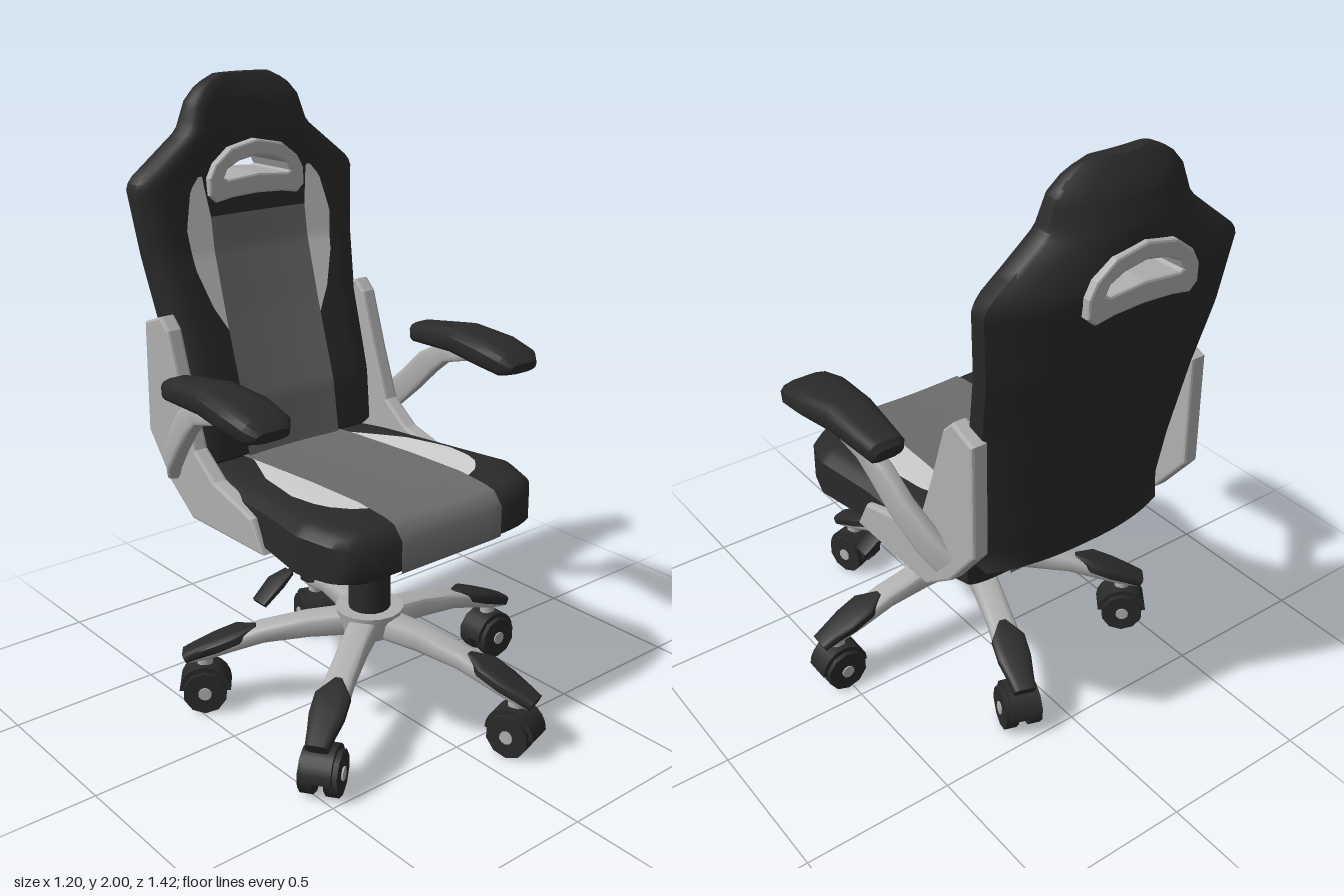
import * as THREE from 'three';
import { toCreasedNormals } from 'three/addons/utils/BufferGeometryUtils.js';

const mat = (name, color) => { const m = new THREE.MeshStandardMaterial({ color }); m.name = name; return m; };

// Linear lookup in rows of [key, a, b, ...] with rising keys
function at(table, k) {
  let i = 0;
  while (i < table.length - 2 && k > table[i + 1][0]) i++;
  const [p, q] = [table[i], table[i + 1]];
  const f = THREE.MathUtils.clamp((k - p[0]) / (q[0] - p[0]), 0, 1);
  return p.slice(1).map((v, j) => v + (q[j + 1] - v) * f);
}

function build(pos, idx) {
  const g = new THREE.BufferGeometry();
  g.setAttribute('position', new THREE.Float32BufferAttribute(pos, 3));
  g.setIndex(idx);
  return toCreasedNormals(g, 0.75);
}

// Cushion: two facing surfaces F and B over (u, t), joined by walls; cells may be skipped to leave a hole
function slab(F, B, nu, nt, skip = () => false) {
  const pos = [], idx = [], half = (nu + 1) * (nt + 1);
  for (const S of [F, B])
    for (let i = 0; i <= nt; i++)
      for (let j = 0; j <= nu; j++) pos.push(...S(j / nu * 2 - 1, i / nt));
  const f = (i, j) => i * (nu + 1) + j, b = (i, j) => f(i, j) + half;
  const quad = (p, q, r, s) => idx.push(p, q, r, p, r, s);
  for (let i = 0; i < nt; i++) {
    for (let j = 0; j < nu; j++) {
      if (skip(...F((j + 0.5) / nu * 2 - 1, (i + 0.5) / nt))) continue;
      quad(f(i, j), f(i, j + 1), f(i + 1, j + 1), f(i + 1, j));
      quad(b(i, j), b(i + 1, j), b(i + 1, j + 1), b(i, j + 1));
    }
    quad(f(i, nu), b(i, nu), b(i + 1, nu), f(i + 1, nu));
    quad(f(i, 0), f(i + 1, 0), b(i + 1, 0), b(i, 0));
  }
  for (let j = 0; j < nu; j++) {
    quad(f(0, j), b(0, j), b(0, j + 1), f(0, j + 1));
    quad(f(nt, j), f(nt, j + 1), b(nt, j + 1), b(nt, j));
  }
  return build(pos, idx);
}

// Thin panel lying on a surface: x runs lo(s)..hi(s) for each s in the list
function patch(list, lo, hi, fn, n = 10) {
  const pos = [], idx = [];
  list.forEach((s, i) => {
    for (let j = 0; j <= n; j++) pos.push(...fn(THREE.MathUtils.lerp(lo(s), hi(s), j / n), s));
    if (i) for (let j = 0; j < n; j++) {
      const a = (i - 1) * (n + 1) + j, c = a + n + 1;
      idx.push(a, a + 1, c + 1, a, c + 1, c);
    }
  });
  return build(pos, idx);
}
const range = (a, b, n) => Array.from({ length: n + 1 }, (_, i) => a + (b - a) * i / n);

// Rounded-box section swept along points [x, y, z, halfWidth, halfHeight]
function sweep(pts, power = 0.5, n = 12) {
  const P = pts.map(p => new THREE.Vector3(p[0], p[1], p[2])), pos = [], idx = [];
  const pw = v => Math.sign(v) * Math.abs(v) ** power;
  P.forEach((p, i) => {
    const T = P[Math.min(i + 1, P.length - 1)].clone().sub(P[Math.max(i - 1, 0)]).normalize();
    const S = T.clone().cross(new THREE.Vector3(0, 1, 0)).normalize(), U = S.clone().cross(T);
    for (let j = 0; j < n; j++) {
      const a = (j + 0.5) / n * Math.PI * 2;
      const v = p.clone().addScaledVector(S, pw(Math.cos(a)) * pts[i][3]).addScaledVector(U, pw(Math.sin(a)) * pts[i][4]);
      pos.push(v.x, v.y, v.z);
      const k = (j + 1) % n, o = i * n;
      if (i) idx.push(o - n + j, o + j, o + k, o - n + j, o + k, o - n + k);
    }
  });
  const c = P.length * n, last = c - n;
  pos.push(...P[0].toArray(), ...P[P.length - 1].toArray());
  for (let j = 0; j < n; j++) {
    const k = (j + 1) % n;
    idx.push(c, j, k, c + 1, last + k, last + j);
  }
  return build(pos, idx);
}

export function createModel() {
  const root = new THREE.Group();
  const black = mat('black', 0x2a2a2a), grey = mat('grey fabric', 0x6c6c6c);
  const pale = mat('pale panel', 0xd0d0d0), silver = mat('silver', 0xb0b0b0);
  const add = (name, geo, m, parent = root) => {
    const mesh = new THREE.Mesh(geo, m);
    mesh.name = name;
    parent.add(mesh);
    return mesh;
  };

  // Backrest: height, half width, front z, back z
  const back = [[0.74, 0.33, -0.43, -0.53], [0.79, 0.37, -0.33, -0.545], [0.97, 0.38, -0.355, -0.58], [1.24, 0.385, -0.435, -0.635],
    [1.45, 0.41, -0.49, -0.675], [1.66, 0.435, -0.518, -0.697], [1.69, 0.425, -0.52, -0.698], [1.83, 0.245, -0.525, -0.69],
    [1.92, 0.213, -0.535, -0.665], [1.97, 0.17, -0.55, -0.635], [2, 0.105, -0.565, -0.61]];
  const backFront = (x, y) => {
    const [w, f, b] = at(back, y), u = Math.abs(x / w);
    return f + (f - b) * (0.15 * u ** 2 - 0.3 * u ** 10);
  };
  const backRear = (x, y) => {
    const [w, f, b] = at(back, y);
    return b + (f - b) * 0.55 * Math.abs(x / w) ** 2.5;
  };
  const onBack = S => (u, t) => {
    const y = 0.74 + 1.26 * t, x = u * at(back, y)[0];
    return [x, y, S(x, y)];
  };
  add('backrest', slab(onBack(backFront), onBack(backRear), 44, 63,
    (x, y) => Math.abs(x) < 0.165 && y > 1.645 && y < 1.77 - 0.1 * (x / 0.165) ** 2), black);
  const backPanel = (x, y) => [x, y, backFront(x, y) + 0.006];
  add('backrestStripe', patch(range(0.79, 1.56, 40), () => -0.19, () => 0.19, backPanel), grey);
  const backSide = [[1.2, 0.19], [1.28, 0.235], [1.4, 0.275], [1.53, 0.29], [1.65, 0.26], [1.69, 0.225]];
  const inner = y => 0.19 + Math.max(0, y - 1.56) * 0.15;

  // Handle opening: bevelled ring through the backrest
  const arch = half => half.concat(half.slice(1, -1).reverse().map(([x, y]) => [-x, y])).map(p => new THREE.Vector2(...p));
  const ring = new THREE.Shape(arch([[0, 1.625], [0.1, 1.62], [0.16, 1.61], [0.182, 1.63], [0.182, 1.68], [0.16, 1.72], [0.1, 1.765], [0, 1.785]]));
  ring.holes.push(new THREE.Path(arch([[0, 1.675], [0.12, 1.665], [0.142, 1.675], [0.125, 1.71], [0.075, 1.735], [0, 1.748]])));
  const ringGeo = new THREE.ExtrudeGeometry(ring, { depth: 0.2, bevelSize: 0.008, bevelThickness: 0.008, bevelSegments: 2 });
  add('handleRing', ringGeo, silver).position.z = -0.7;

  // Seat: z, half width, top, bottom
  const seat = [[-0.42, 0.36, 0.77, 0.66], [-0.25, 0.385, 0.785, 0.64], [0.05, 0.41, 0.8, 0.64], [0.27, 0.445, 0.805, 0.635],
    [0.38, 0.41, 0.795, 0.633], [0.42, 0.37, 0.785, 0.635], [0.455, 0.3, 0.74, 0.66]];
  const seatTop = (x, z) => {
    const [w, t] = at(seat, z), u = Math.abs(x / w);
    return t + 0.02 * u ** 2 - 0.05 * u ** 10;
  };
  const seatBottom = (x, z) => {
    const [w, , b] = at(seat, z);
    return b + 0.02 * Math.abs(x / w) ** 10;
  };
  const onSeat = S => (u, t) => {
    const z = 0.455 - 0.875 * t, x = u * at(seat, z)[0];
    return [x, S(x, z), z];
  };
  add('seat', slab(onSeat(seatTop), onSeat(seatBottom), 36, 50), black);
  // Stripe wraps over the top, rear, underside and front
  const wrap = (x, s) => {
    const k = s % 2, top = k < 1, z = top ? 0.455 - 0.875 * k : -0.42 + 0.875 * (k - 1);
    return [x, top ? seatTop(x, z) + 0.006 : seatBottom(x, z) - 0.006, (z - 0.0175) * 1.014 + 0.0175];
  };
  add('seatStripe', patch([...range(0, 0.9999, 50), ...range(1, 1.9999, 50), 2], () => -0.205, () => 0.205, wrap), grey);
  const seatSide = [[-0.28, 0.2], [-0.08, 0.295], [0.095, 0.33], [0.19, 0.32], [0.245, 0.3], [0.29, 0.26], [0.31, 0.21]];
  const seatPanel = (x, z) => [x, seatTop(x, z) + 0.006, z];

  // Side bracket outline as (-z, y)
  const bracket = new THREE.Shape([[-0.07, 0.645], [0.3, 0.645], [0.42, 0.735], [0.535, 0.88], [0.53, 1.24], [0.445, 1.27],
    [0.41, 1.235], [0.35, 1.05], [0.285, 0.87], [0.18, 0.79], [-0.02, 0.735]].map(p => new THREE.Vector2(...p)));
  const bracketGeo = new THREE.ExtrudeGeometry(bracket, { depth: 0.035, bevelSize: 0.008, bevelThickness: 0.01, bevelSegments: 2 });
  bracketGeo.rotateY(Math.PI / 2).translate(-0.0175, 0, 0);

  for (const s of [1, -1]) {
    const side = s > 0 ? 'left' : 'right';
    const mirror = (lo, hi) => s > 0 ? [lo, hi] : [k => -hi(k), k => -lo(k)];
    add(side + 'BackrestPanel', patch(range(1.2, 1.69, 30), ...mirror(inner, y => at(backSide, y)[0]), backPanel), pale);
    add(side + 'SeatPanel', patch(range(0.31, -0.28, 36), ...mirror(() => 0.205, z => Math.max(0.205, at(seatSide, z)[0])), seatPanel), pale);
    add(side + 'Bracket', bracketGeo, silver).position.x = s * 0.402;
    const flip = pts => pts.map(([x, ...r]) => [s * x, ...r]);
    add(side + 'Arm', sweep(flip([[0.425, 0.785, -0.41, 0.022, 0.045], [0.455, 0.84, -0.36, 0.025, 0.047], [0.485, 0.93, -0.27, 0.025, 0.045],
      [0.5, 1.01, -0.195, 0.025, 0.045], [0.51, 1.06, -0.12, 0.025, 0.035], [0.513, 1.08, 0, 0.03, 0.022], [0.513, 1.075, 0.16, 0.03, 0.02]]), 0.4), silver);
    add(side + 'ArmPad', sweep(flip([[0.505, 1.11, -0.25, 0.045, 0.018], [0.505, 1.113, -0.235, 0.06, 0.035], [0.505, 1.132, -0.03, 0.08, 0.046],
      [0.505, 1.118, 0.12, 0.094, 0.046], [0.505, 1.1, 0.215, 0.088, 0.04], [0.505, 1.09, 0.25, 0.06, 0.018]]), 0.6), black);
    // Height and tilt levers
    add(side + 'Lever', sweep([[-0.025, 0.63, 0.1, 0.008, 0.008], [s * 0.17 - 0.025, 0.605, 0.1, 0.008, 0.008], [s * 0.34 - 0.025, 0.565, 0.1, 0.01, 0.01]], 1, 6), black);
    add(side + 'LeverPaddle', sweep([[s * 0.32 - 0.025, 0.572, 0.1, 0.02, 0.008], [s * 0.37 - 0.025, 0.55, 0.1, 0.036, 0.012],
      [s * 0.435 - 0.025, 0.5, 0.1, 0.03, 0.01]], 0.5, 8), black);
  }

  // Pedestal, centred on its column
  const base = new THREE.Group();
  base.name = 'base';
  base.position.set(-0.025, 0, 0.105);
  root.add(base);
  const cyl = (r1, r2, h, n) => toCreasedNormals(new THREE.CylinderGeometry(r1, r2, h, n), 0.75);
  add('mechanism', new THREE.BoxGeometry(0.32, 0.03, 0.36), black, base).position.y = 0.627;
  add('column', cyl(0.068, 0.068, 0.32, 16), black, base).position.y = 0.48;
  add('hub', cyl(0.112, 0.095, 0.085, 16), silver, base).position.y = 0.312;

  const wheelGeo = cyl(0.072, 0.072, 0.042, 10).rotateX(Math.PI / 2);
  const capGeo = cyl(0.022, 0.022, 0.006, 10).rotateX(Math.PI / 2);
  const hoodGeo = new THREE.CylinderGeometry(0.084, 0.084, 0.09, 10, 1, false, 0, Math.PI).rotateZ(Math.PI / 2).rotateY(Math.PI / 2);
  const spokeGeo = sweep([[0.05, 0.305, 0, 0.05, 0.042], [0.2, 0.293, 0, 0.045, 0.037], [0.35, 0.268, 0, 0.045, 0.028],
    [0.45, 0.236, 0, 0.048, 0.024], [0.53, 0.203, 0, 0.038, 0.021], [0.595, 0.183, 0, 0.033, 0.015]], 0.5);
  const coverGeo = sweep([[0.37, 0.288, 0, 0.012, 0.006], [0.43, 0.262, 0, 0.056, 0.02], [0.5, 0.232, 0, 0.055, 0.021],
    [0.56, 0.207, 0, 0.043, 0.02], [0.605, 0.186, 0, 0.036, 0.018]], 0.5);
  for (let i = 0; i < 5; i++) {
    const leg = new THREE.Group();
    leg.name = 'leg' + (i + 1);
    leg.rotation.y = -THREE.MathUtils.degToRad(1 + 72 * i);
    base.add(leg);
    add('spoke', spokeGeo, silver, leg);
    add('spokeCover', coverGeo, black, leg);
    add('casterStem', cyl(0.026, 0.026, 0.05, 10), silver, leg).position.set(0.54, 0.172, 0);
    // Caster: twin wheels, half-round hood and hub caps
    add('casterBody', cyl(0.03, 0.03, 0.07, 8), black, leg).position.set(0.54, 0.12, 0);
    const hood = add('casterHood', hoodGeo, black, leg);
    hood.position.set(0.54, 0.078, 0);
    // Turn the half-round so its arch points upward
    hoodGeo.computeBoundingBox();
    if (hoodGeo.boundingBox.max.y < 0.05) hood.rotation.z = Math.PI;
    for (const s of [1, -1]) {
      add('wheel', wheelGeo, black, leg).position.set(0.54, 0.075, s * 0.04);
      add('wheelCap', capGeo, silver, leg).position.set(0.54, 0.075, s * 0.063);
    }
  }
  return root;
}
